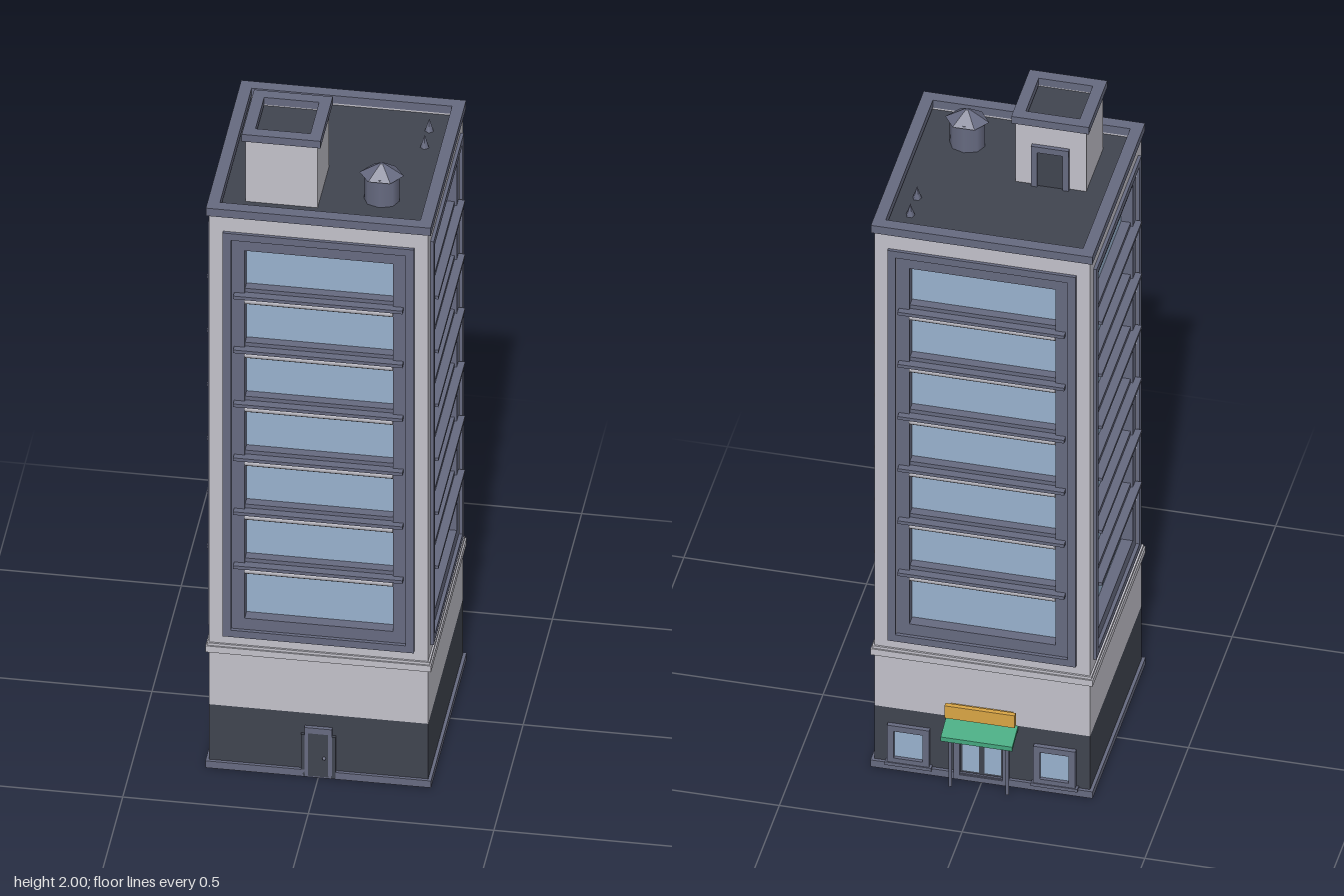
import * as THREE from 'three';

const mat = (name, color) => Object.assign(new THREE.MeshStandardMaterial({ color }), { name });

export function createModel() {
  const wall = mat('pale wall', 0xc2c1ca);
  const trim = mat('slate trim', 0x666a80);
  const dark = mat('charcoal', 0x40444f);
  const glass = mat('window glass', 0x98b1cd);
  const green = mat('awning green', 0x45a87f);
  const gold = mat('sign gold', 0xd9a545);

  const H = 0.295; // half width of the shaft
  const model = new THREE.Group();
  model.name = 'tower';
  const building = new THREE.Group();
  building.name = 'building';
  building.position.z = 0.0265;
  model.add(building);

  function add(parent, name, geometry, material, x = 0, y = 0, z = 0) {
    const m = new THREE.Mesh(geometry, material);
    m.name = name;
    m.position.set(x, y, z);
    parent.add(m);
    return m;
  }
  // Box given by its limits on each axis
  const box = (parent, name, material, x0, x1, y0, y1, z0, z1) =>
    add(parent, name, new THREE.BoxGeometry(x1 - x0, y1 - y0, z1 - z0), material,
      (x0 + x1) / 2, (y0 + y1) / 2, (z0 + z1) / 2);

  // Rectangular ring in the xy plane, extruded towards +z
  function ringGeometry(w, h, border, depth) {
    const rect = (Type, a, b) => new Type([[-a, -b], [a, -b], [a, b], [-a, b]]
      .map(([x, y]) => new THREE.Vector2(x, y)));
    const shape = rect(THREE.Shape, w / 2, h / 2);
    shape.holes.push(rect(THREE.Path, w / 2 - border, h / 2 - border));
    return new THREE.ExtrudeGeometry(shape, { depth, bevelEnabled: false });
  }
  const flatRing = (w, border, depth) => ringGeometry(w, w, border, depth).rotateX(-Math.PI / 2);

  // Lower storeys
  box(building, 'plinth', trim, -0.304, 0.304, 0, 0.022, -0.304, 0.304);
  box(building, 'underside', dark, -0.3, 0.3, -0.0005, 0.002, -0.3, 0.3);
  box(building, 'groundFloor', dark, -H, H, 0.022, 0.2, -H, H);
  box(building, 'firstFloor', wall, -H, H, 0.2, 0.45, -H, H);
  box(building, 'belt', wall, -0.304, 0.304, 0.374, 0.394, -0.304, 0.304);
  box(building, 'beltLip', wall, -0.3, 0.3, 0.394, 0.402, -0.3, 0.3);

  // Shaft core and corner piers
  box(building, 'glassCore', glass, -0.262, 0.262, 0.45, 1.71, -0.262, 0.262);
  for (const sx of [-1, 1]) for (const sz of [-1, 1]) {
    add(building, 'cornerPier', new THREE.BoxGeometry(0.06, 1.28, 0.06), wall,
      sx * (H - 0.03), 1.08, sz * (H - 0.03));
  }
  box(building, 'upperWall', wall, -H, H, 1.71, 1.77, -H, H);

  // One recessed window bay per side, with seven floors of glass
  for (let side = 0; side < 4; side++) {
    const bay = new THREE.Group();
    bay.name = 'windowBay';
    bay.rotation.y = side * Math.PI / 2;
    building.add(bay);
    add(bay, 'outerFrame', ringGeometry(0.515, 1.305, 0.022, 0.044), trim, 0, 1.0825, 0.26);
    add(bay, 'innerFrame', ringGeometry(0.475, 1.265, 0.038, 0.034), trim, 0, 1.0825, 0.26);
    for (let i = 0; i < 6; i++) {
      const y = 0.645 + i * 0.1745;
      box(bay, 'crossbar', trim, -0.2, 0.2, y + 0.012, y + 0.034, 0.26, 0.288);
      box(bay, 'ledge', trim, -0.228, 0.228, y + 0.012, y + 0.022, 0.26, 0.312);
      const roll = new THREE.CylinderGeometry(0.014, 0.014, 0.4, 12).rotateZ(Math.PI / 2);
      add(bay, 'blindRoll', roll, wall, 0, y - 0.001, 0.286);
    }
  }

  // Roof
  box(building, 'roofDeck', dark, -0.285, 0.285, 1.77, 1.778, -0.285, 0.285);
  add(building, 'wallTop', flatRing(0.59, 0.022, 0.02), wall, 0, 1.768, 0);
  add(building, 'parapet', flatRing(0.606, 0.033, 0.025), trim, 0, 1.785, 0);

  // Stair house with rooftop door
  const house = new THREE.Group();
  house.name = 'stairHouse';
  house.position.set(-0.1135, 0, 0.139);
  model.add(house);
  box(house, 'houseWalls', wall, -0.097, 0.097, 1.775, 1.968, -0.097, 0.097);
  box(house, 'houseDeck', dark, -0.09, 0.09, 1.966, 1.972, -0.09, 0.09);
  add(house, 'houseParapet', flatRing(0.212, 0.032, 0.023), trim, 0, 1.977, 0);
  add(house, 'houseWallTop', flatRing(0.194, 0.02, 0.014), wall, 0, 1.965, 0);
  for (const s of [-1, 1]) {
    box(house, 'doorJamb', trim, s * 0.043 - 0.008, s * 0.043 + 0.008, 1.778, 1.905, -0.108, -0.095);
  }
  box(house, 'doorLintel', trim, -0.051, 0.051, 1.893, 1.912, -0.109, -0.095);
  box(house, 'roofDoor', dark, -0.036, 0.036, 1.778, 1.893, -0.101, -0.095);

  // Roof vent with a low hexagonal hat
  const vent = new THREE.Group();
  vent.name = 'roofVent';
  vent.position.set(0.146, 0, 0.171);
  vent.scale.z = 0.82;
  model.add(vent);
  const ventMat = trim;
  add(vent, 'ventPipe', new THREE.CylinderGeometry(0.048, 0.048, 0.09, 8).toNonIndexed(), ventMat, 0, 1.82, 0);
  const hat = new THREE.CylinderGeometry(0.006, 0.06, 0.035, 6).toNonIndexed();
  hat.computeVertexNormals();
  add(vent, 'ventHat', hat, ventMat, 0, 1.878, 0).rotation.y = Math.PI / 6;

  // Small roof pegs
  for (const z of [-0.168, -0.09]) {
    add(model, 'roofPeg', new THREE.ConeGeometry(0.013, 0.04, 5), trim, 0.221, 1.797, z);
  }

  // Front service door with stepped surround
  const F = H;
  for (const s of [-1, 1]) {
    box(building, 'serviceJamb', dark, s * 0.041 - 0.006, s * 0.041 + 0.006, 0, 0.135, F - 0.01, F + 0.009);
    box(building, 'servicePost', trim, s * 0.032 - 0.005, s * 0.032 + 0.005, 0.01, 0.158, F - 0.01, F + 0.01);
  }
  box(building, 'serviceLintel', trim, -0.037, 0.037, 0.142, 0.16, F - 0.01, F + 0.011);
  box(building, 'serviceDoor', dark, -0.028, 0.028, 0.004, 0.142, F - 0.01, F + 0.0095);
  add(building, 'doorKnob', new THREE.SphereGeometry(0.005, 8, 6), trim, 0.016, 0.065, F + 0.011);

  // Back entrance, built facing +z and turned round
  const entry = new THREE.Group();
  entry.name = 'entrance';
  entry.rotation.y = Math.PI;
  building.add(entry);
  for (const x of [-0.2, 0.2]) {
    add(entry, 'shopFrame', ringGeometry(0.115, 0.125, 0.018, 0.018), trim, x, 0.087, F - 0.005);
    box(entry, 'shopGlass', glass, x - 0.042, x + 0.042, 0.04, 0.135, F - 0.005, F + 0.003);
    box(entry, 'shopSill', trim, x - 0.064, x + 0.064, 0.018, 0.028, F - 0.005, F + 0.016);
  }
  add(entry, 'entranceFrame', ringGeometry(0.15, 0.165, 0.016, 0.018), trim, 0, 0.085, F - 0.005);
  box(entry, 'entranceDoors', dark, -0.06, 0.06, 0.005, 0.155, F - 0.005, F + 0.003);
  for (const s of [-1, 1]) {
    box(entry, 'entranceGlass', glass, s * 0.03 - 0.022, s * 0.03 + 0.022, 0.03, 0.145, F, F + 0.006);
    add(entry, 'awningPost', new THREE.CylinderGeometry(0.005, 0.005, 0.18, 8), trim, s * 0.078, 0.09, 0.337);
  }

  // Sloping awning with a short drop at its edge
  const profile = new THREE.Shape([[0.285, 0.203], [0.362, 0.178], [0.362, 0.164], [0.355, 0.168], [0.285, 0.19]]
    .map(([z, y]) => new THREE.Vector2(z, y)));
  const awning = new THREE.ExtrudeGeometry(profile, { depth: 0.196, bevelEnabled: false });
  awning.rotateY(-Math.PI / 2);
  add(entry, 'awning', awning, green, 0.098, 0, 0);

  // Sign board on its bracket
  box(entry, 'signBracket', gold, -0.085, 0.085, 0.226, 0.244, F - 0.005, 0.315);
  box(entry, 'signBoard', gold, -0.096, 0.096, 0.215, 0.256, 0.313, 0.326);

  return model;
}
